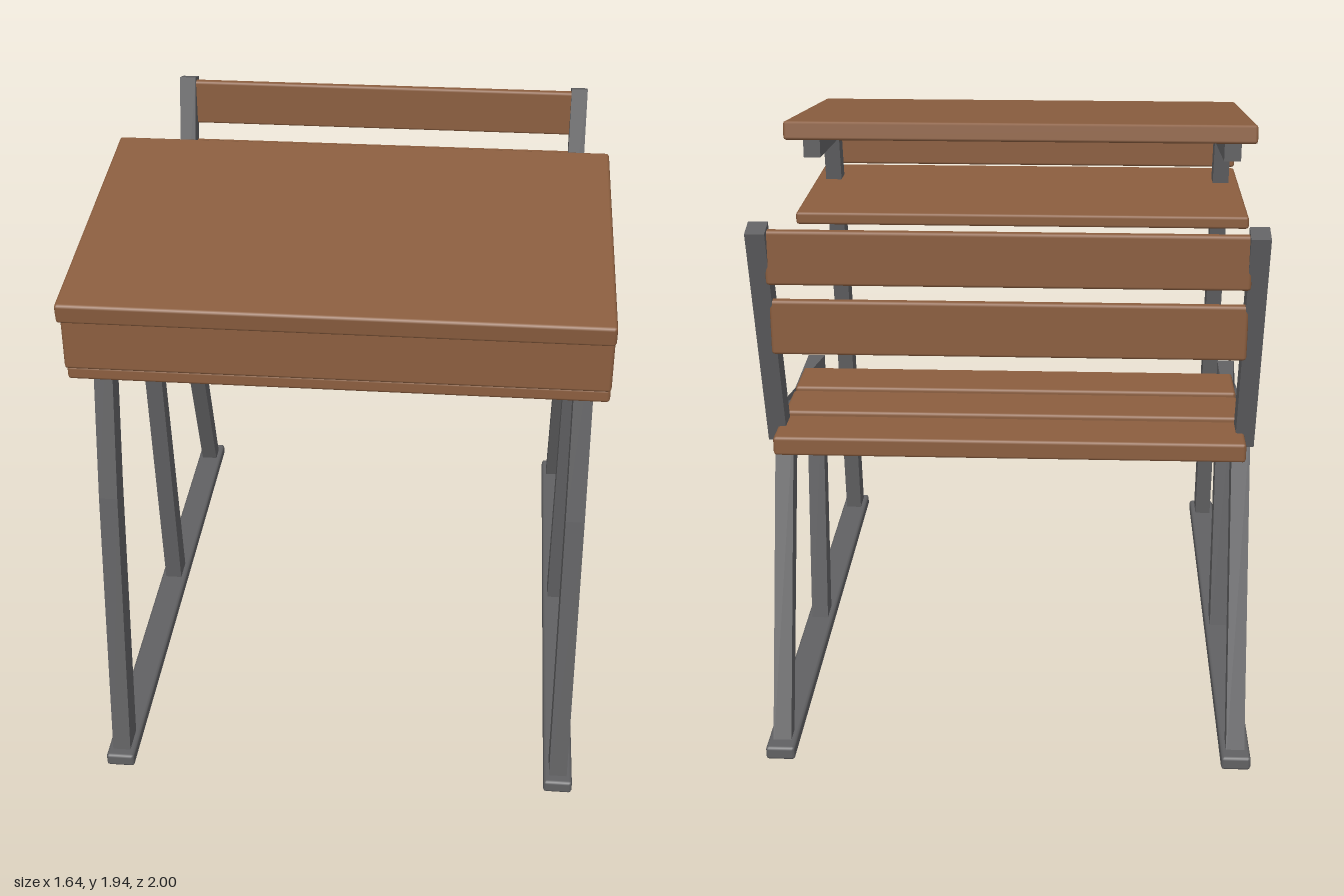
import * as THREE from 'three';
import { RoundedBoxGeometry } from 'three/addons/geometries/RoundedBoxGeometry.js';

const wood = new THREE.MeshStandardMaterial({ color: 0x8b5e3f });
wood.name = 'wood';
const metal = new THREE.MeshStandardMaterial({ color: 0x616163 });
metal.name = 'metal';

// Box with slightly bevelled edges, given by its ranges in x, y and z
function bevelBox(name, material, [x0, x1], [y0, y1], [z0, z1]) {
  const geometry = new RoundedBoxGeometry(x1 - x0, y1 - y0, z1 - z0, 1, 0.01);
  const mesh = new THREE.Mesh(geometry, material);
  mesh.name = name;
  mesh.position.set((x0 + x1) / 2, (y0 + y1) / 2, (z0 + z1) / 2);
  return mesh;
}

// Bent square bar: each section is [outer z, outer y, inner z, inner y];
// from section twistAt on, the bar is turned by a quarter
function bentBar(name, x, sections, twistAt = Infinity) {
  const x0 = x - 0.03, x1 = x + 0.03;
  const rings = sections.map(([oz, oy, iz, iy], k) => {
    const ring = [[x1, oy, oz], [x0, oy, oz], [x0, iy, iz], [x1, iy, iz]];
    if (k >= twistAt) ring.unshift(ring.pop());
    return ring;
  });
  const points = [];
  const quad = (a, b, c, d) => points.push(...a, ...b, ...c, ...a, ...c, ...d);
  for (let k = 0; k < rings.length - 1; k++) {
    for (let i = 0; i < 4; i++) {
      const j = (i + 1) % 4;
      quad(rings[k][j], rings[k][i], rings[k + 1][i], rings[k + 1][j]);
    }
  }
  quad(...rings[0]);
  quad(...[...rings[rings.length - 1]].reverse());
  const geometry = new THREE.BufferGeometry();
  geometry.setAttribute('position', new THREE.Float32BufferAttribute(points, 3));
  geometry.computeVertexNormals();
  const mesh = new THREE.Mesh(geometry, metal);
  mesh.name = name;
  return mesh;
}

export function createModel() {
  const model = new THREE.Group();
  model.name = 'schoolDesk';

  // Sloping writing surface
  const top = bevelBox('deskTop', wood, [-0.82, 0.82], [1.811, 1.876], [0, 1]);
  top.rotation.x = 0.124;
  model.add(top);

  // Front panel and book shelf
  model.add(bevelBox('frontPanel', wood, [-0.82, 0.82], [1.57, 1.765], [0.904, 0.947]));
  model.add(bevelBox('bookShelf', wood, [-0.82, 0.82], [1.52, 1.565], [0.178, 0.922]));

  // Seat slats
  for (const z of [-0.305, -0.527, -0.75]) {
    model.add(bevelBox('seatSlat', wood, [-0.747, 0.747], [1.05, 1.113], [z - 0.097, z + 0.097]));
  }

  // Backrest slats
  model.add(bevelBox('lowerBackSlat', wood, [-0.73, 0.73], [1.4, 1.575], [-0.871, -0.836]));
  model.add(bevelBox('upperBackSlat', wood, [-0.73, 0.73], [1.635, 1.805], [-0.906, -0.871]));

  // Metal frame on each side
  for (const x of [-0.75, 0.75]) {
    const side = new THREE.Group();
    side.name = x > 0 ? 'leftFrame' : 'rightFrame';
    side.add(bevelBox('baseRail', metal, [x - 0.048, x + 0.048], [0.02, 0.066], [-1, 1]));
    side.add(bentBar('deskLeg', x, [
      [0.972, 0.02, 0.875, 0.01],
      [0.845, 1.03, 0.755, 1.03],
      [0.71, 1.79, 0.643, 1.735],
      [0.176, 1.845, 0.176, 1.77],
    ]));
    side.add(bentBar('seatFrame', x, [
      [-0.027, 0.02, -0.12, 0.01],
      [0.086, 1.05, 0.013, 0.99],
      [-0.6, 1.108, -0.545, 1.028],
      [-0.965, 0.02, -0.91, 0],
    ], 2));
    side.add(bentBar('backPost', x, [
      [-0.662, 1.08, -0.738, 1.06],
      [-0.866, 1.824, -0.935, 1.804],
    ]));
    model.add(side);
  }
  return model;
}
